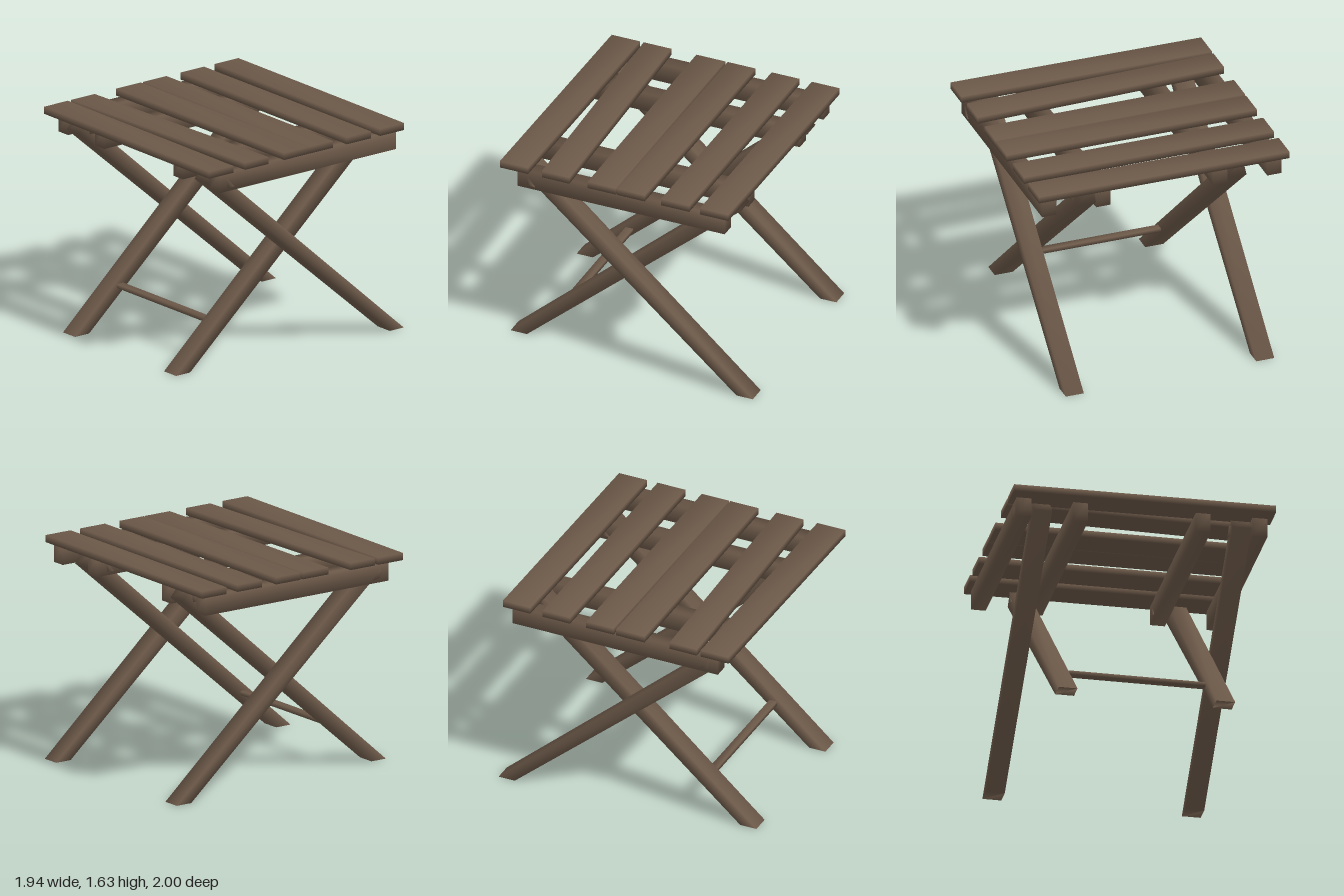
import * as THREE from 'three';
import { mergeVertices } from 'three/addons/utils/BufferGeometryUtils.js';

const wood = new THREE.MeshStandardMaterial({ color: 0x6b5848 });
wood.name = 'brown wood';

// Extrude an outline and share its corners, giving softly shaded edges
function softPrism(points, depth) {
  const shape = new THREE.Shape(points.map(([a, b]) => new THREE.Vector2(a, b)));
  const geo = new THREE.ExtrudeGeometry(shape, { depth, bevelEnabled: false, steps: 1 });
  geo.deleteAttribute('uv');
  geo.deleteAttribute('normal');
  const soft = mergeVertices(geo, 1e-4);
  soft.computeVertexNormals();
  return soft;
}

// Outline in (z, y), spanning x0 to x1
function sidePrism(points, x0, x1) {
  return softPrism(points, x1 - x0).rotateY(-Math.PI / 2).translate(x1, 0, 0);
}

// Outline in (x, z), spanning y0 to y1
function planPrism(points, y0, y1) {
  return softPrism(points, y1 - y0).rotateX(Math.PI / 2).translate(0, y1, 0);
}

const rect = (z0, z1, y0, y1) => [[z0, y0], [z1, y0], [z1, y1], [z0, y1]];

export function createModel() {
  const group = new THREE.Group();
  group.name = 'foldingStool';
  const add = (name, geo) => {
    const mesh = new THREE.Mesh(geo, wood);
    mesh.name = name;
    group.add(mesh);
  };

  // Seat slats, slightly askew: z range at the -x end, then at the +x end
  const slats = [
    [-0.89, -0.67, -0.875, -0.65],
    [-0.57, -0.35, -0.565, -0.34],
    [-0.22, 0.0, -0.21, 0.01],
    [0.02, 0.25, 0.02, 0.245],
    [0.45, 0.67, 0.39, 0.61],
    [0.70, 0.925, 0.72, 0.945],
  ];
  slats.forEach(([a0, a1, b0, b1], i) => {
    add(`seatSlat${i + 1}`, planPrism([[-0.97, a0], [0.97, b0], [0.97, b1], [-0.97, a1]], 1.577, 1.63));
  });

  // Crossing legs: flat feet, square-cut tops
  const legLine = [[1.0, 0], [0.87, 0], [-0.84, 1.48], [-0.765, 1.565]];
  const innerLeg = legLine;
  const outerLeg = legLine.map(([z, y]) => [-z, y]);
  const peg = [[0.75, 1.53], [0.68, 1.455], [0.74, 1.46]];
  const backPeg = peg.map(([z, y]) => [-z, y]);

  for (const [side, s] of [['left', 1], ['right', -1]]) {
    const span = (points, a, b) => sidePrism(points, Math.min(s * a, s * b), Math.max(s * a, s * b));
    add(`${side}OuterRail`, span(rect(-0.83, 0.82, 1.43, 1.577), 0.82, 0.93));
    add(`${side}InnerRail`, span(rect(-0.83, 0.82, 1.43, 1.577), 0.40, 0.51));
    add(`${side}OuterLeg`, span(outerLeg, 0.67, 0.81));
    add(`${side}InnerLeg`, span(innerLeg, 0.515, 0.655));
    // Pivot pegs through rail and leg
    add(`${side}FrontPeg`, span(peg, 0.66, 0.936));
    add(`${side}BackPeg`, span(backPeg, 0.395, 0.66));
  }

  // Stretcher between the inner legs
  add('stretcher', sidePrism(rect(0.55, 0.61, 0.295, 0.325), -0.53, 0.53));

  return group;
}
